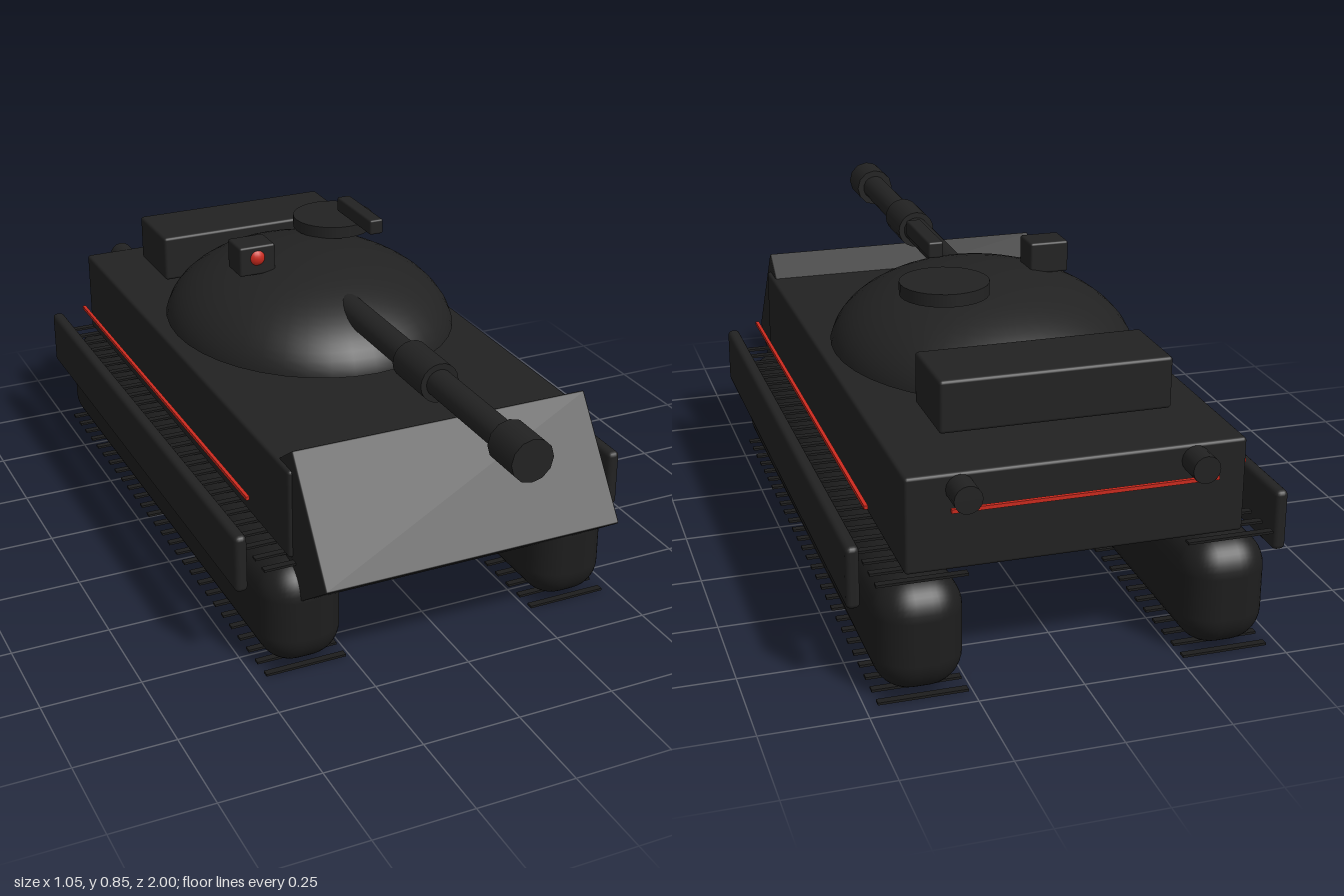
import * as THREE from 'three';
import { RoundedBoxGeometry } from 'three/addons/geometries/RoundedBoxGeometry.js';

export function createModel() {
  const model = new THREE.Group();
  const mat = (name, color) => {
    const m = new THREE.MeshStandardMaterial({ color });
    m.name = name;
    return m;
  };
  const armour = mat('armour black', 0x222222);
  const trackMat = mat('track black', 0x1d1d1d);
  const red = mat('signal red', 0xcc2a1e);

  const add = (name, geometry, material, x, y, z) => {
    const mesh = new THREE.Mesh(geometry, material);
    mesh.name = name;
    mesh.position.set(x, y, z);
    model.add(mesh);
    return mesh;
  };
  const box = (w, h, d, r = 0.008) => new RoundedBoxGeometry(w, h, d, 2, r);
  const rod = (r, length, sides = 20) =>
    new THREE.CylinderGeometry(r, r, length, sides).rotateX(Math.PI / 2);

  // Hull and sloped front plate
  add('hull', box(0.8, 0.23, 1.52), armour, 0, 0.415, -0.175);
  add('frontPlate', box(0.78, 0.335, 0.205, 0.004), armour, 0, 0.387, 0.597).rotation.x = -0.612;

  // Turret dome, cut flat just above the hull
  const dome = new THREE.SphereGeometry(1, 40, 16, 0, Math.PI * 2, 0, 1.454);
  dome.scale(0.383, 0.215, 0.44);
  add('turret', dome, armour, 0, 0.53, -0.205);
  const floor = new THREE.CircleGeometry(1, 40).rotateX(Math.PI / 2);
  floor.scale(0.38, 1, 0.437);
  add('turretFloor', floor, armour, 0, 0.555, -0.205);
  add('turretBin', box(0.555, 0.126, 0.205), armour, 0, 0.62, -0.682);

  // Gun
  add('barrel', rod(0.035, 1.0), armour, 0, 0.67, 0.45);
  add('barrelSleeve', rod(0.05, 0.15), armour, 0, 0.67, 0.49);
  add('muzzle', rod(0.053, 0.107, 12), armour, 0, 0.67, 0.9465);

  // Roof fittings
  add('hatch', new THREE.CylinderGeometry(0.11, 0.11, 0.032, 28), armour, 0.14, 0.754, -0.352);
  add('roofGun', box(0.038, 0.04, 0.21, 0.005), armour, 0.14, 0.825, -0.176);
  add('sightHousing', box(0.1, 0.08, 0.086, 0.006), armour, -0.175, 0.76, -0.176);
  add('sightLens', new THREE.SphereGeometry(0.028, 20, 14), red, -0.175, 0.767, -0.152);

  // Rear light bar
  add('rearLightBar', new THREE.BoxGeometry(0.62, 0.009, 0.009), red, 0, 0.467, -0.987);

  // Running gear, skirts and lights on both sides
  const cleat = new THREE.BoxGeometry(0.21, 0.006, 0.018);
  const cleatCount = 28;
  for (const s of [-1, 1]) {
    const side = s > 0 ? 'left' : 'right';
    add(side + 'Track', new RoundedBoxGeometry(0.208, 0.275, 1.61, 5, 0.085), trackMat, s * 0.365, 0.148, -0.173);
    add(side + 'Skirt', box(0.032, 0.15, 1.475, 0.012), armour, s * 0.51, 0.297, -0.175);
    add(side + 'LightStrip', new THREE.BoxGeometry(0.009, 0.009, 1.285), red, s * 0.455, 0.417, -0.172);
    add(side + 'RearLamp', rod(0.033, 0.068, 16), armour, s * 0.275, 0.493, -0.966);
    for (let i = 0; i < cleatCount; i++) {
      const z = 0.595 - (1.54 * i) / (cleatCount - 1);
      add(side + 'LowerCleat', cleat, trackMat, s * 0.365, 0.003, z);
      add(side + 'UpperCleat', cleat, trackMat, s * 0.365, 0.293, z);
    }
  }
  return model;
}
